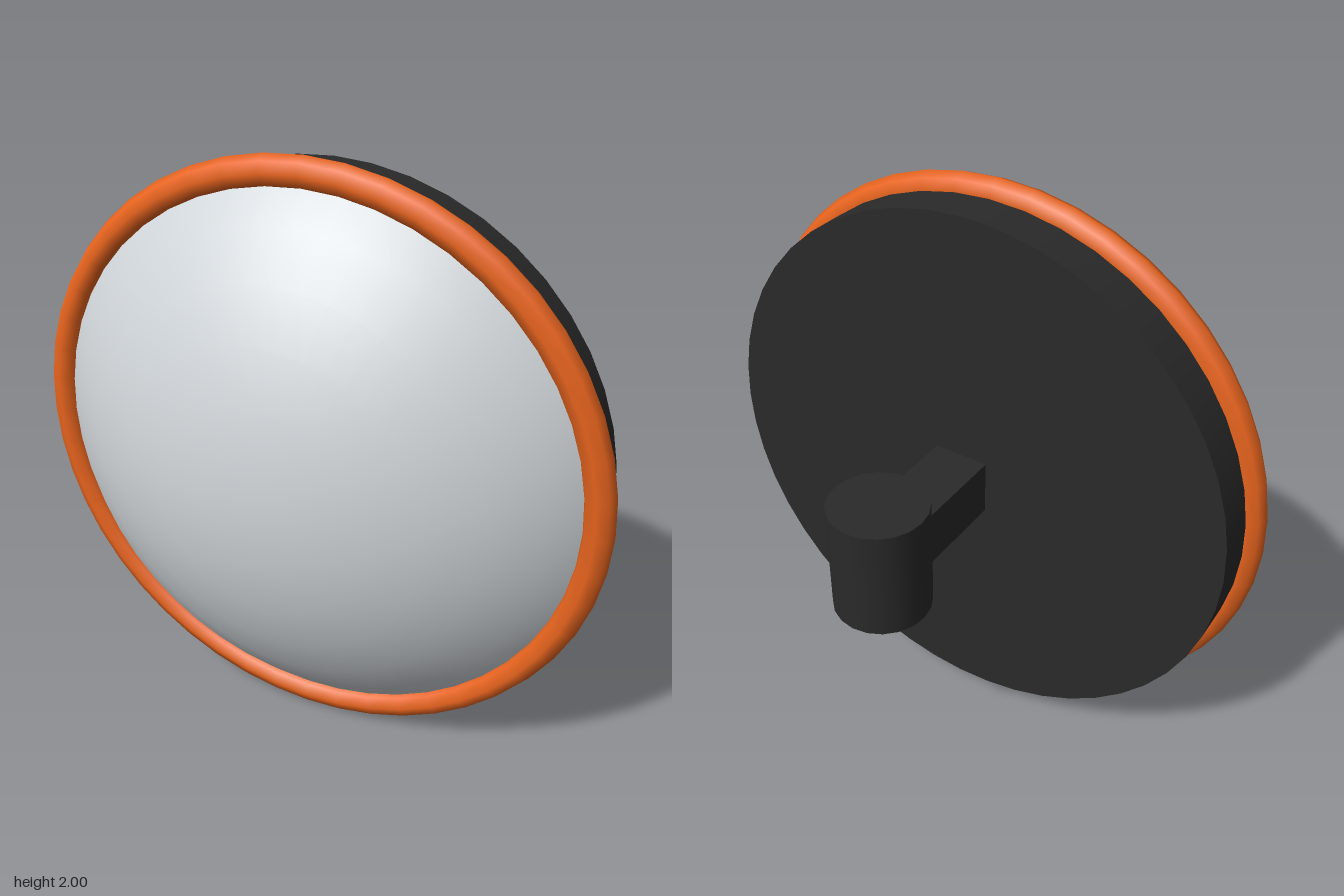
import * as THREE from 'three';

export function createModel() {
  const model = new THREE.Group();
  const mirrorGrey = new THREE.MeshStandardMaterial({ color: 0xcfd4d8 });
  mirrorGrey.name = 'mirrorGrey';
  const rimOrange = new THREE.MeshStandardMaterial({ color: 0xe8641e });
  rimOrange.name = 'rimOrange';
  const housingBlack = new THREE.MeshStandardMaterial({ color: 0x2a2a2a });
  housingBlack.name = 'housingBlack';

  const add = (name, geometry, material, z) => {
    const mesh = new THREE.Mesh(geometry, material);
    mesh.name = name;
    mesh.position.set(0, 1, z);
    model.add(mesh);
    return mesh;
  };

  // Convex mirror: a spherical cap bulging towards the front
  const R = 1.3;
  const cap = new THREE.SphereGeometry(R, 48, 6, 0, Math.PI * 2, 0, 0.82);
  cap.rotateX(Math.PI / 2);
  add('mirrorDome', cap, mirrorGrey, 0.605 - R);

  // Rim round the mirror
  add('rim', new THREE.TorusGeometry(0.95, 0.05, 8, 48), rimOrange, 0.212);

  // Backing disc
  const disc = new THREE.CylinderGeometry(0.95, 0.95, 0.17, 48);
  disc.rotateX(Math.PI / 2);
  add('backingDisc', disc, housingBlack, 0.1);

  // Bracket arm and the vertical pole clamp behind
  add('bracketArm', new THREE.BoxGeometry(0.194, 0.194, 0.36), housingBlack, -0.135);
  add('poleClamp', new THREE.CylinderGeometry(0.162, 0.162, 0.39, 20), housingBlack, -0.445);

  return model;
}
